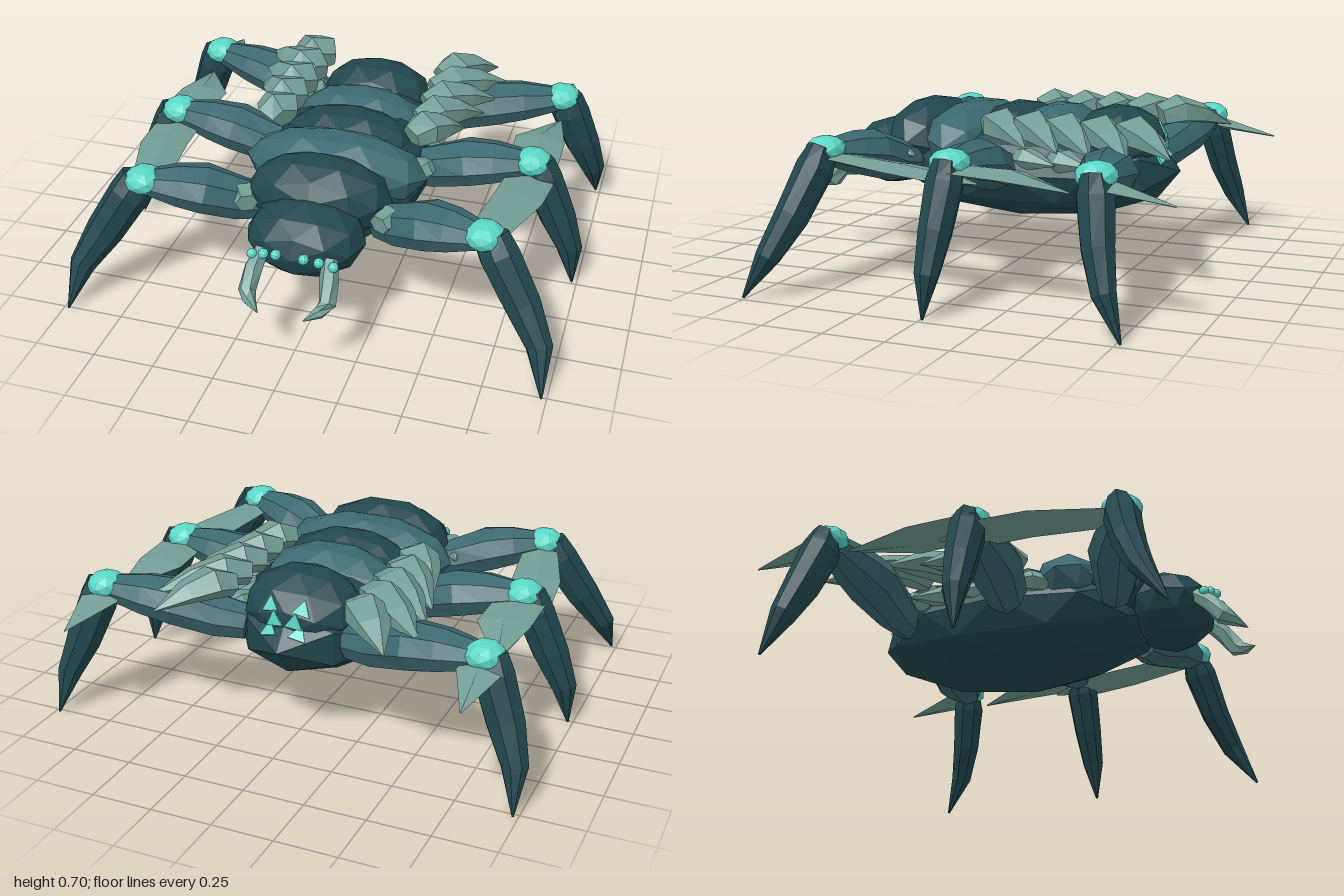
import * as THREE from 'three';

const paint = (name, color) => {
  const m = new THREE.MeshStandardMaterial({ color, flatShading: true });
  m.name = name;
  return m;
};

// Faceted tube through [x, y, z, halfWidth, halfHeight] stations, capped at both ends
function loft(stations, sides, ref = new THREE.Vector3(0, 1, 0)) {
  const pts = stations.map(p => new THREE.Vector3(p[0], p[1], p[2]));
  const pos = [], idx = [], n = sides, last = pts.length - 1;
  pts.forEach((p, k) => {
    const t = pts[Math.min(k + 1, last)].clone().sub(pts[Math.max(k - 1, 0)]).normalize();
    const s = ref.clone().cross(t).normalize();
    const v = t.clone().cross(s);
    for (let i = 0; i < n; i++) {
      const a = (i / n) * Math.PI * 2;
      const q = p.clone().addScaledVector(s, Math.cos(a) * stations[k][3]).addScaledVector(v, Math.sin(a) * stations[k][4]);
      pos.push(q.x, q.y, q.z);
    }
  });
  for (let k = 0; k < last; k++) {
    for (let i = 0; i < n; i++) {
      const a = k * n + i, b = k * n + (i + 1) % n;
      idx.push(a, b, b + n, a, b + n, a + n);
    }
  }
  for (let i = 1; i < n - 1; i++) {
    idx.push(0, i + 1, i);
    idx.push(last * n, last * n + i, last * n + i + 1);
  }
  const g = new THREE.BufferGeometry();
  g.setAttribute('position', new THREE.Float32BufferAttribute(pos, 3));
  g.setIndex(idx);
  g.computeVertexNormals();
  return g;
}

export function createModel() {
  const model = new THREE.Group();
  model.name = 'armouredCrawler';
  const shell = paint('dark teal shell', 0x21474d);
  const limb = paint('mid teal limb', 0x3b6870);
  const bone = paint('pale green bone', 0x729d95);
  const glow = paint('bright aqua', 0x5ad6c6);

  const add = (name, geometry, material) => {
    const m = new THREE.Mesh(geometry, material);
    m.name = name;
    model.add(m);
    return m;
  };
  // Low-poly ellipsoid, optionally tilted front-up
  const ellipsoid = (name, mat, x, y, z, rx, ry, rz, tilt = 0) => {
    const m = add(name, new THREE.IcosahedronGeometry(1, 1), mat);
    m.position.set(x, y, z);
    m.scale.set(rx, ry, rz);
    m.rotation.x = tilt;
    return m;
  };

  // Belly, head and overlapping back plates
  const belly = ellipsoid('belly', shell, 0, 0.43, -0.07, 0.37, 0.223, 0.63);
  ellipsoid('head', shell, 0, 0.44, 0.58, 0.24, 0.148, 0.19);
  const plates = [
    [0.40, 0.30, 0.165, 0.175, 0.52, shell],
    [0.19, 0.385, 0.155, 0.185, 0.525, limb],
    [-0.01, 0.29, 0.155, 0.185, 0.53, shell],
    [-0.19, 0.29, 0.155, 0.185, 0.532, limb],
    [-0.45, 0.245, 0.155, 0.19, 0.535, shell],
  ];
  const plateMeshes = plates.map(([z, rx, ry, rz, y, mat], i) =>
    ellipsoid('backPlate' + (i + 1), mat, 0, y, z, rx, ry, rz, -0.25));

  // Glowing triangular spots lying on rear facets of the last plate and the belly
  const spotPlaces = [[plateMeshes[4], 0.27, 0.548, -0.72], [plateMeshes[4], 0.167, 0.278, -0.887], [belly, 0.167, 0.278, -0.887]];
  for (const [host, x, y, z] of spotPlaces) {
    for (const side of [1, -1]) {
      const dir = new THREE.Vector3(x * side, y, z);
      const spot = add('tailSpot', new THREE.CylinderGeometry(0.042, 0.042, 0.009, 3), glow);
      spot.position.copy(dir).multiplyScalar(1.01).multiply(host.scale).applyEuler(host.rotation).add(host.position);
      const normal = dir.divide(host.scale).applyEuler(host.rotation).normalize();
      spot.quaternion.setFromUnitVectors(new THREE.Vector3(0, 1, 0), normal);
    }
  }

  for (const side of [1, -1]) {
    const flip = stations => stations.map(([x, ...rest]) => [x * side, ...rest]);
    const tag = side > 0 ? 'left' : 'right';

    // Legs: root x, root z, knee x, knee z, foot z
    const legs = [
      ['Front', 0.24, 0.40, 0.69, 0.545, 0.76],
      ['Middle', 0.25, -0.03, 0.77, -0.03, -0.01],
      ['Rear', 0.22, -0.50, 0.80, -0.615, -0.77],
    ];
    for (const [where, rx, rz, kx, kz, fz] of legs) {
      const along = (t, y, w, h) => [rx + (kx - rx) * t, y, rz + (kz - rz) * t, w, h];
      add(tag + where + 'UpperLeg', loft(flip([
        along(0, 0.44, 0.07, 0.075), along(0.2, 0.455, 0.09, 0.09),
        along(0.5, 0.505, 0.12, 0.097), along(0.72, 0.522, 0.1, 0.085), along(1, 0.54, 0.058, 0.05),
      ]), 8), limb);
      // Shin bows outward: tx and tz are progress towards the foot
      const down = (tx, tz, y, w, h) => [kx + (0.98 - kx) * tx, y, kz + (fz - kz) * tz, w, h];
      add(tag + where + 'LowerLeg', loft(flip([
        down(0.08, 0, 0.552, 0.075, 0.052), down(0.22, 0.07, 0.48, 0.084, 0.073),
        down(0.58, 0.28, 0.31, 0.077, 0.063), down(0.88, 0.55, 0.165, 0.054, 0.048), down(1, 1, 0, 0.004, 0.005),
      ]), 8, new THREE.Vector3(0, 0, 1)), shell);
      ellipsoid(tag + where + 'Knee', glow, kx * side, 0.55, kz, 0.08, 0.056, 0.082);
    }

    // Flat blades trailing back from the knees
    const blades = [
      [[0.68, 0.525, 0.53, 0.07, 0.012], [0.755, 0.51, 0.2, 0.1, 0.02], [0.77, 0.495, 0.03, 0.1, 0.016], [0.79, 0.48, -0.15, 0.01, 0.004]],
      [[0.77, 0.53, 0.02, 0.1, 0.014], [0.762, 0.515, -0.27, 0.105, 0.024], [0.815, 0.48, -0.52, 0.003, 0.003]],
      [[0.79, 0.53, -0.58, 0.06, 0.014], [0.8, 0.51, -0.68, 0.085, 0.024], [0.812, 0.463, -0.91, 0.003, 0.003]],
    ];
    blades.forEach(b => add(tag + 'KneeBlade', loft(flip(b), 4), bone));

    // Dorsal spikes sweeping outward and back: base z, tip x, tip z
    const spikes = [[0.0, 0.45, -0.2], [-0.14, 0.5, -0.35], [-0.28, 0.53, -0.49], [-0.42, 0.565, -0.65], [-0.55, 0.476, -0.79]];
    for (const [z, tx, tz] of spikes) {
      const lerp = (t, y, w, h) => [0.285 + (tx - 0.285) * t, y, z + (tz - z) * t, w, h];
      add(tag + 'DorsalSpike', loft(flip([
        lerp(-0.08, 0.61, 0.06, 0.05), lerp(0.2, 0.633, 0.096, 0.064), lerp(0.55, 0.612, 0.07, 0.045), lerp(1, 0.56, 0.003, 0.003),
      ]), 5), bone);
    }

    // Smaller spikes along the flank
    for (const [z, x] of [[0.51, 0.27], [0.13, 0.3], [-0.1, 0.28], [-0.25, 0.28], [-0.4, 0.26]]) {
      add(tag + 'FlankSpike', loft(flip([
        [x, 0.49, z, 0.045, 0.04], [x + 0.03, 0.495, z - 0.06, 0.062, 0.05], [x + 0.09, 0.485, z - 0.19, 0.004, 0.004],
      ]), 6), bone);
    }

    // Hooked mandible
    add(tag + 'Mandible', loft(flip([
      [0.135, 0.435, 0.71, 0.03, 0.03], [0.15, 0.385, 0.77, 0.038, 0.038],
      [0.16, 0.315, 0.825, 0.035, 0.04], [0.138, 0.298, 0.862, 0.026, 0.024], [0.09, 0.282, 0.908, 0.002, 0.002],
    ]), 6), bone);

    // Three eyes in an arc
    for (const [x, y, z] of [[0.055, 0.47, 0.783], [0.11, 0.455, 0.768], [0.162, 0.435, 0.752]]) {
      ellipsoid(tag + 'Eye', glow, x * side, y, z, 0.021, 0.021, 0.021);
    }
  }
  return model;
}
